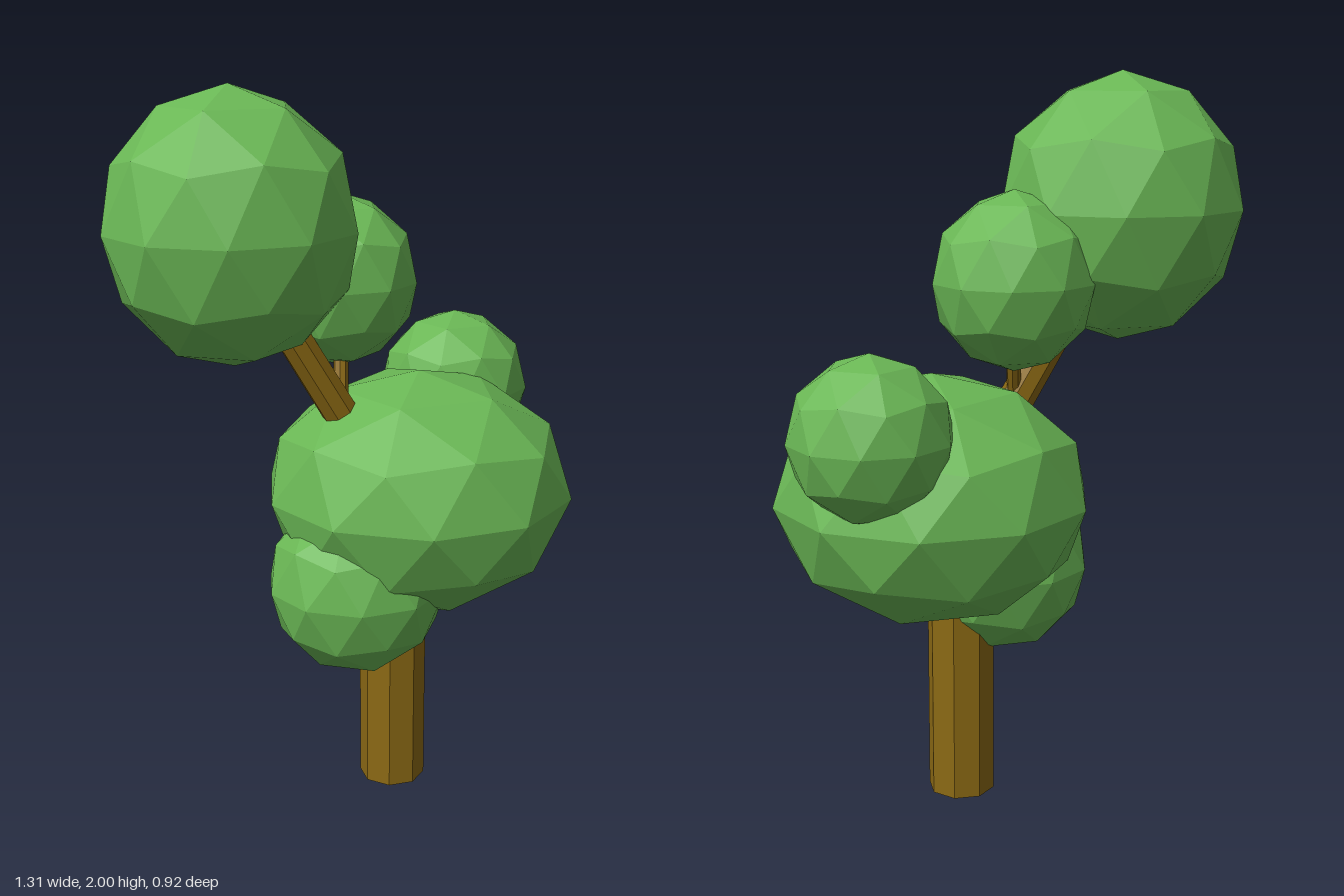
import * as THREE from 'three';

const leafGreen = new THREE.MeshStandardMaterial({ color: 0x6ab755, flatShading: true });
leafGreen.name = 'leafGreen';
const barkBrown = new THREE.MeshStandardMaterial({ color: 0x8b6914, flatShading: true });
barkBrown.name = 'barkBrown';

// Faceted leaf ball with a corner pointing straight up
function leafBall(name, [x, y, z], radius, halfHeight) {
  const geo = new THREE.IcosahedronGeometry(1, 1);
  geo.rotateX(-Math.atan((1 + Math.sqrt(5)) / 2));
  geo.rotateY(Math.PI / 2);
  geo.scale(radius, halfHeight, radius);
  const mesh = new THREE.Mesh(geo, leafGreen);
  mesh.name = name;
  mesh.position.set(x, y, z);
  return mesh;
}

// Eight-sided tapered limb between two points
function limb(name, from, to, r0, r1) {
  const a = new THREE.Vector3(...from), b = new THREE.Vector3(...to);
  const dir = b.clone().sub(a);
  const mesh = new THREE.Mesh(new THREE.CylinderGeometry(r1, r0, dir.length(), 8), barkBrown);
  mesh.name = name;
  mesh.position.copy(a).add(b).multiplyScalar(0.5);
  mesh.quaternion.setFromUnitVectors(new THREE.Vector3(0, 1, 0), dir.normalize());
  return mesh;
}

export function createModel() {
  const tree = new THREE.Group();
  tree.name = 'tree';

  // Trunk and branches
  tree.add(
    limb('trunk', [0.085, 0, 0.018], [0.085, 0.86, 0.018], 0.094, 0.094),
    limb('mainBranch', [0.085, 0.86, 0.018], [-0.27, 1.49, -0.105], 0.052, 0.046),
    limb('upperTwig', [-0.055, 1.14, -0.04], [0.01, 1.4, -0.12], 0.02, 0.02),
    limb('rightBranch', [0.085, 0.75, 0.018], [0.42, 1.07, -0.12], 0.04, 0.025),
    limb('lowerBranch', [0.085, 0.54, 0.018], [-0.05, 0.65, 0.03], 0.035, 0.03),
  );

  // Foliage
  tree.add(
    leafBall('mainCrown', [0.17, 0.875, 0.025], 0.435, 0.34),
    leafBall('topCrown', [-0.34, 1.64, -0.127], 0.335, 0.36),
    leafBall('middleLeafBall', [0.01, 1.465, -0.13], 0.219, 0.237),
    leafBall('sideLeafBall', [0.445, 1.1, -0.13], 0.216, 0.22),
    leafBall('lowerLeafBall', [-0.06, 0.648, 0.033], 0.25, 0.253),
  );
  return tree;
}
